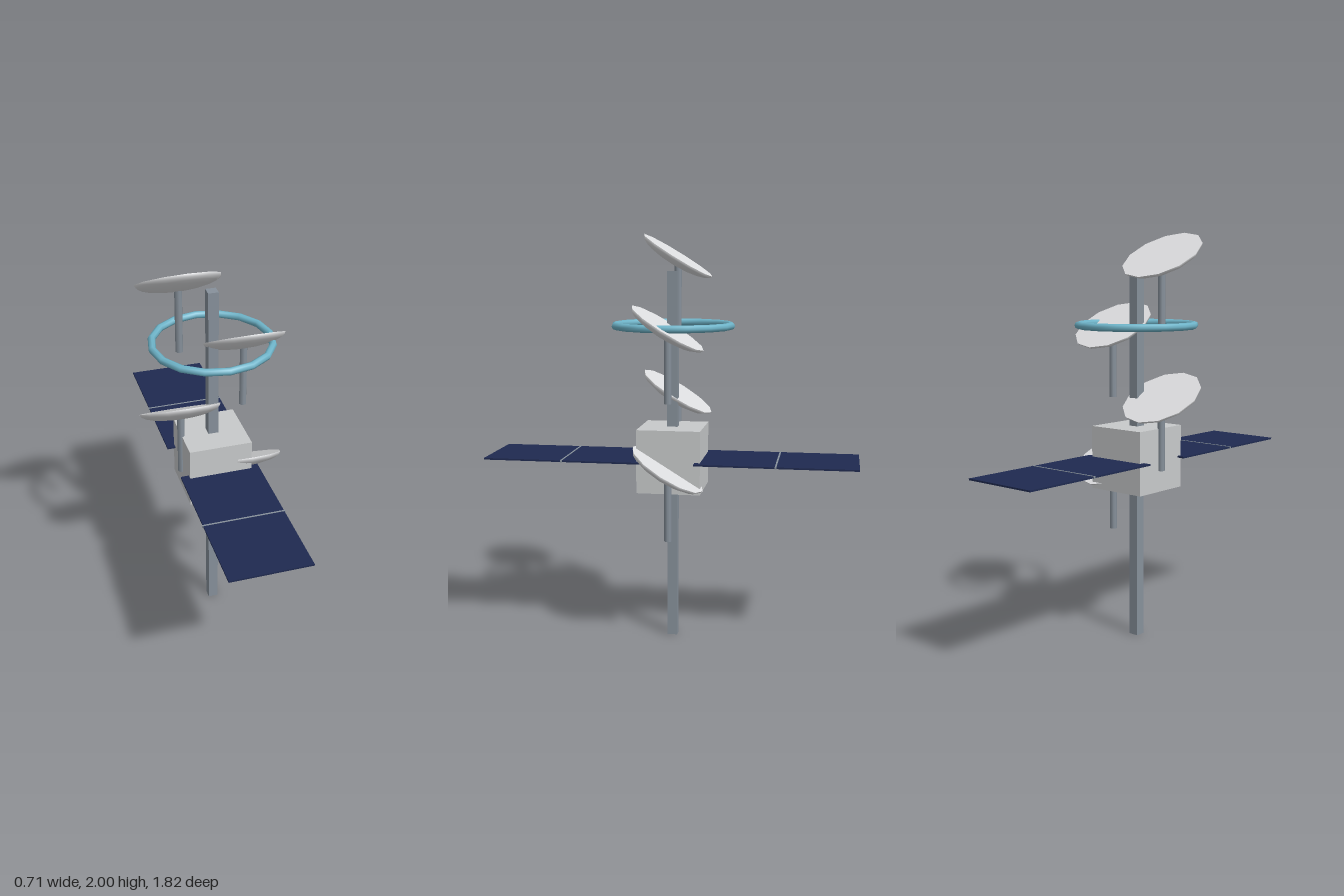
import * as THREE from 'three';

const mat = (name, color) => {
  const m = new THREE.MeshStandardMaterial({ color });
  m.name = name;
  return m;
};

export function createModel() {
  const steel = mat('steel grey', 0x87919b);
  const hull = mat('hull grey', 0xc8cacb);
  const white = mat('dish white', 0xdddee0);
  const navy = mat('solar navy', 0x1f2a50);
  const cyan = mat('ring blue', 0x6fb5ca);

  const model = new THREE.Group();
  model.name = 'relayStation';

  const add = (parent, name, geometry, material, x = 0, y = 0, z = 0) => {
    const mesh = new THREE.Mesh(geometry, material);
    mesh.name = name;
    mesh.position.set(x, y, z);
    parent.add(mesh);
    return mesh;
  };

  // Central mast and equipment box
  add(model, 'mast', new THREE.BoxGeometry(0.05, 1.82, 0.05), steel, 0, 0.91, 0);
  add(model, 'body', new THREE.BoxGeometry(0.31, 0.31, 0.31), hull, 0, 0.913, 0);

  // Solar wings, front and back: a panel with a crossbar at its middle
  for (const side of [1, -1]) {
    const wing = new THREE.Group();
    wing.name = side > 0 ? 'frontSolarWing' : 'backSolarWing';
    add(wing, 'solarPanel', new THREE.BoxGeometry(0.39, 0.008, 0.78), navy, 0, 0.912, side * 0.518);
    add(wing, 'panelCrossbar', new THREE.BoxGeometry(0.4, 0.011, 0.008), steel, 0, 0.912, side * 0.518);
    model.add(wing);
  }

  // Antenna ring around the mast
  const ring = add(model, 'ring', new THREE.TorusGeometry(0.283, 0.018, 8, 16), cyan, 0, 1.56, 0);
  ring.rotation.x = Math.PI / 2;

  // Dishes on alternating sides: a shallow bowl closed by a flat face, on a strut
  const radius = 0.2;
  const bowl = new THREE.SphereGeometry(radius, 12, 6, 0, Math.PI * 2, Math.PI / 2, Math.PI / 2);
  bowl.scale(1, 0.25, 1);
  const face = new THREE.CircleGeometry(radius, 12).rotateX(-Math.PI / 2);
  const strut = new THREE.CylinderGeometry(0.018, 0.018, 0.325, 8);

  for (let i = 0; i < 4; i++) {
    const x = i % 2 ? 0.155 : -0.157;
    const y = 1.895 - i * 0.337;
    const antenna = new THREE.Group();
    antenna.name = 'dishAntenna';
    antenna.position.set(x, y, 0);
    add(antenna, 'strut', strut, steel, 0, -0.1975, 0);

    const dish = new THREE.Group();
    dish.name = 'dish';
    dish.rotation.x = -0.55;
    add(dish, 'bowl', bowl, white);
    add(dish, 'dishFace', face, white);
    antenna.add(dish);
    model.add(antenna);
  }

  return model;
}
